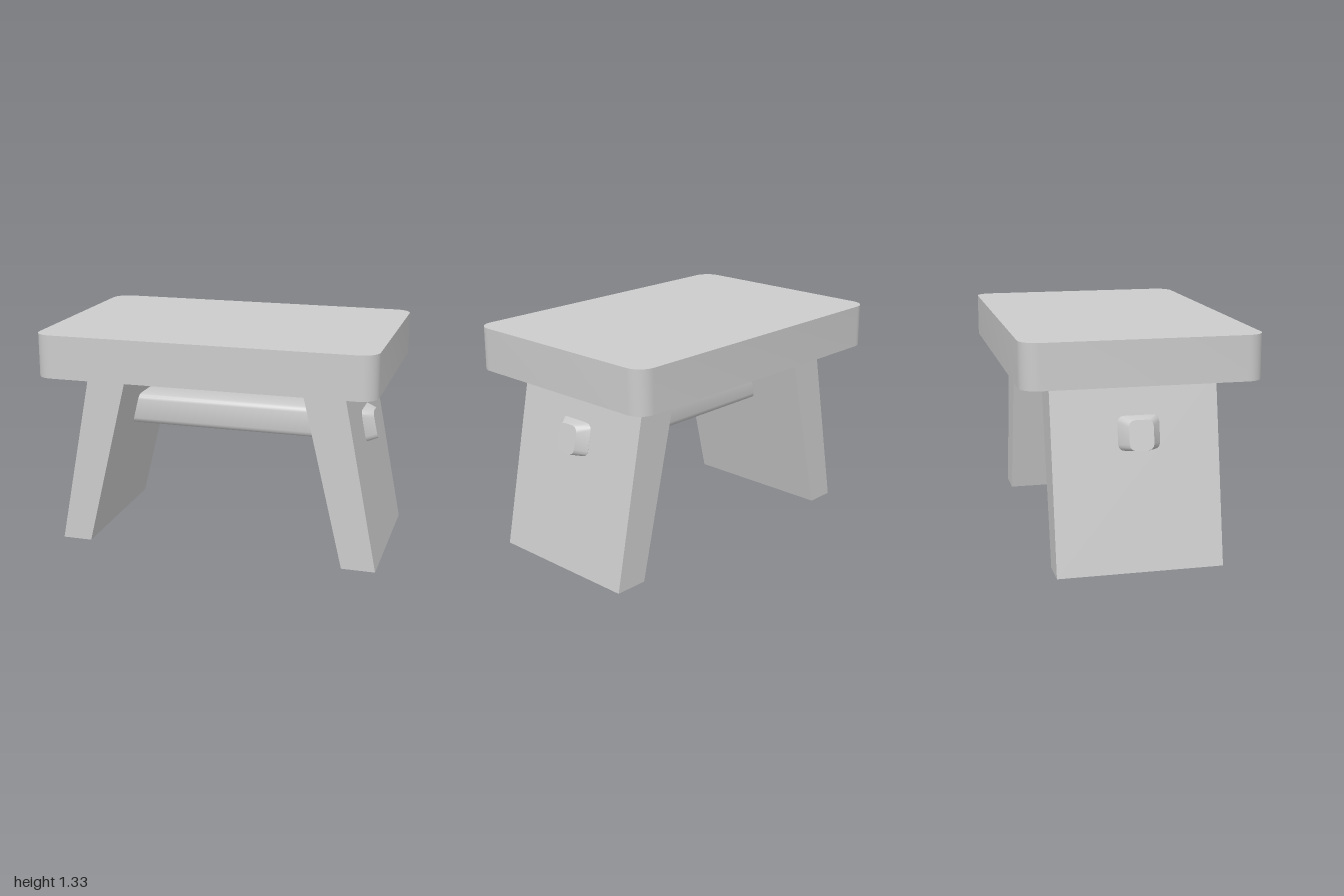
import * as THREE from 'three';
import { toCreasedNormals } from 'three/addons/utils/BufferGeometryUtils.js';

const material = new THREE.MeshStandardMaterial({ color: 0xcccccc });

function addPart(group, name, geometry) {
  const mesh = new THREE.Mesh(toCreasedNormals(geometry, 0.6), material);
  mesh.name = name;
  group.add(mesh);
  return mesh;
}

// Rectangle with rounded corners
function roundedRect(x0, x1, y0, y1, r) {
  const s = new THREE.Shape();
  s.absarc(x1 - r, y1 - r, r, 0, Math.PI / 2);
  s.absarc(x0 + r, y1 - r, r, Math.PI / 2, Math.PI);
  s.absarc(x0 + r, y0 + r, r, Math.PI, Math.PI * 1.5);
  s.absarc(x1 - r, y0 + r, r, Math.PI * 1.5, Math.PI * 2);
  s.closePath();
  return s;
}

// Slanted plank leg: side outline extruded through the depth
function legGeometry(outline) {
  const shape = new THREE.Shape(outline.map(([x, y]) => new THREE.Vector2(x, y)));
  const g = new THREE.ExtrudeGeometry(shape, { depth: 0.955, bevelEnabled: false });
  return g.translate(0, 0, -0.485);
}

// Stretcher: rounded sections lofted along x, each leaning with its leg
function stretcherGeometry() {
  const arc = (z0, z1, y0, y1, r) => {
    const points = [];
    const corners = [[z1 - r, y1 - r], [z0 + r, y1 - r], [z0 + r, y0 + r], [z1 - r, y0 + r]];
    corners.forEach(([z, y], c) => {
      for (let i = 0; i <= 3; i++) {
        const a = (c + i / 3) * Math.PI / 2;
        points.push([z + r * Math.cos(a), y + r * Math.sin(a)]);
      }
    });
    return points;
  };
  const body = arc(-0.11, 0.13, 0.672, 0.862, 0.035);
  const tip = arc(-0.06, 0.08, 0.685, 0.85, 0.035);
  const centre = tip.map(() => [0.01, 0.767]);
  // [section, x at mid height, lean in x per unit of y]
  const stations = [
    [centre, -0.87, 0.23], [tip, -0.87, 0.23], [body, -0.803, 0.2],
    [body, 0.85, -0.2], [tip, 0.912, -0.21], [centre, 0.912, -0.21],
  ];
  const n = tip.length;
  const positions = [];
  const index = [];
  stations.forEach(([section, x, lean], s) => {
    section.forEach(([z, y], i) => {
      positions.push(x + lean * (y - 0.767), y, z);
      if (s === stations.length - 1) return;
      const a = s * n + i, b = s * n + (i + 1) % n;
      index.push(a, a + n, b, b, a + n, b + n);
    });
  });
  const g = new THREE.BufferGeometry();
  g.setAttribute('position', new THREE.Float32BufferAttribute(positions, 3));
  g.setIndex(index);
  // Orient faces outward: ring runs from +z to +y, swept along +x
  for (let i = 0; i < index.length; i += 3) {
    const [p, q, r] = [0, 1, 2].map(k => new THREE.Vector3().fromArray(positions, index[i + k] * 3));
    const mid = p.clone().add(q).add(r).divideScalar(3).sub(new THREE.Vector3(0, 0.767, 0.01));
    const normal = q.sub(p).cross(r.sub(p));
    if (normal.dot(mid) < 0) [index[i + 1], index[i + 2]] = [index[i + 2], index[i + 1]];
  }
  g.setIndex(index);
  return g;
}

export function createModel() {
  const group = new THREE.Group();
  group.name = 'stool';

  // Seat board with rounded corners
  const seat = new THREE.ExtrudeGeometry(roundedRect(-1, 1, -0.67, 0.675, 0.1),
    { depth: 0.255, bevelEnabled: false, curveSegments: 4 });
  seat.rotateX(-Math.PI / 2).translate(0, 1.07, 0);
  addPart(group, 'seat', seat);

  // Splayed plank legs
  addPart(group, 'rightLeg', legGeometry([[-0.95, 0], [-0.77, 0], [-0.51, 1.07], [-0.745, 1.07]]));
  addPart(group, 'leftLeg', legGeometry([[0.8, 0], [1, 0], [0.79, 1.07], [0.545, 1.07]]));

  // Cross beam passing through both legs
  addPart(group, 'stretcher', stretcherGeometry());
  return group;
}
